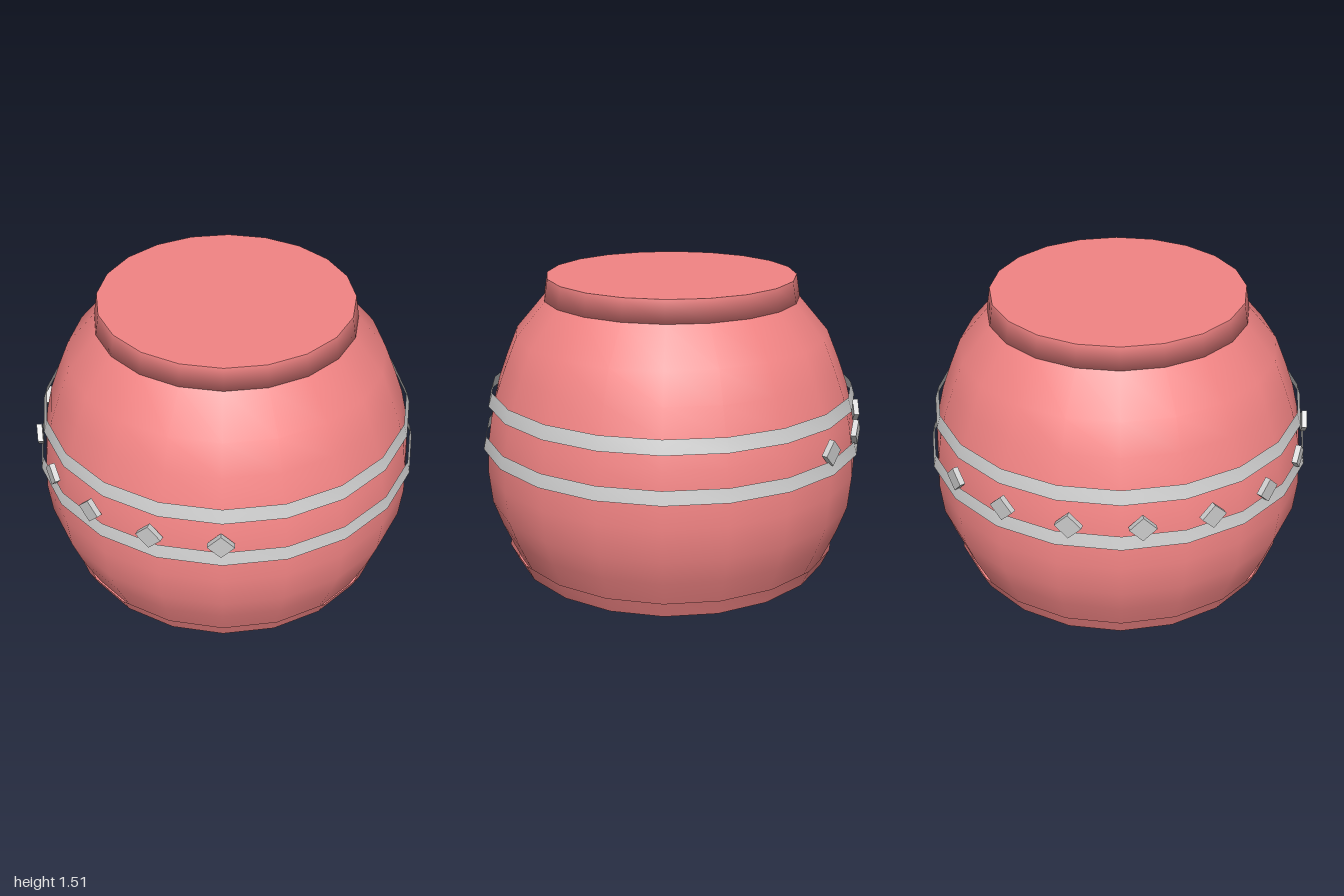
import * as THREE from 'three';
import { toCreasedNormals } from 'three/addons/utils/BufferGeometryUtils.js';

const SIDES = 20;
const TURN = 0.075; // small rotation of the facets about the axis

const clay = new THREE.MeshStandardMaterial({ color: 0xf28484, side: THREE.DoubleSide });
const grey = new THREE.MeshStandardMaterial({ color: 0xcccccc, side: THREE.DoubleSide });

// Turned part from [radius, y] pairs
function turned(name, profile, material, crease = 0.6) {
  const points = profile.map(([r, y]) => new THREE.Vector2(r, y));
  const geometry = toCreasedNormals(new THREE.LatheGeometry(points, SIDES, TURN), crease);
  const mesh = new THREE.Mesh(geometry, material);
  mesh.name = name;
  return mesh;
}

export function createModel() {
  const pot = new THREE.Group();
  pot.name = 'pot';

  // Thin rounded shell, open underneath
  pot.add(turned('body', [
    [0.832, 0.004], [0.875, 0.1], [0.922, 0.21], [0.97, 0.35],
    [0.985, 0.52], [0.975, 0.68], [0.956, 0.8], [0.92, 0.94],
    [0.872, 1.07], [0.81, 1.22], [0.656, 1.4],
  ], clay));

  // Flared foot ring with a narrow lip below
  pot.add(turned('foot', [[0.832, 0.004], [0.847, 0], [0.889, 0.092]], clay, 1.3));

  // Neck ring, softly shaded into its lower lip, and the flat lid
  pot.add(turned('neck', [[0.63, 1.398], [0.66, 1.398], [0.641, 1.51]], clay, 2));
  pot.add(turned('lid', [[0.641, 1.51], [0, 1.51]], clay));

  // Two thin sloping bands around the belly
  pot.add(turned('lowerBand', [[1.002, 0.645], [0.986, 0.712]], grey));
  pot.add(turned('upperBand', [[0.966, 0.873], [0.944, 0.942]], grey));

  // Row of diamond studs between the bands, over half the circumference
  const studs = new THREE.Group();
  studs.name = 'studs';
  const studGeometry = new THREE.BoxGeometry(0.092, 0.092, 0.028).rotateZ(Math.PI / 4);
  for (let i = 0; i < 10; i++) {
    const angle = THREE.MathUtils.degToRad(130 + 20 * i);
    const stud = new THREE.Mesh(studGeometry, grey);
    stud.name = 'stud';
    stud.position.set(0.985 * Math.sin(angle), 0.757, 0.985 * Math.cos(angle));
    stud.rotation.y = angle;
    studs.add(stud);
  }
  pot.add(studs);

  return pot;
}
